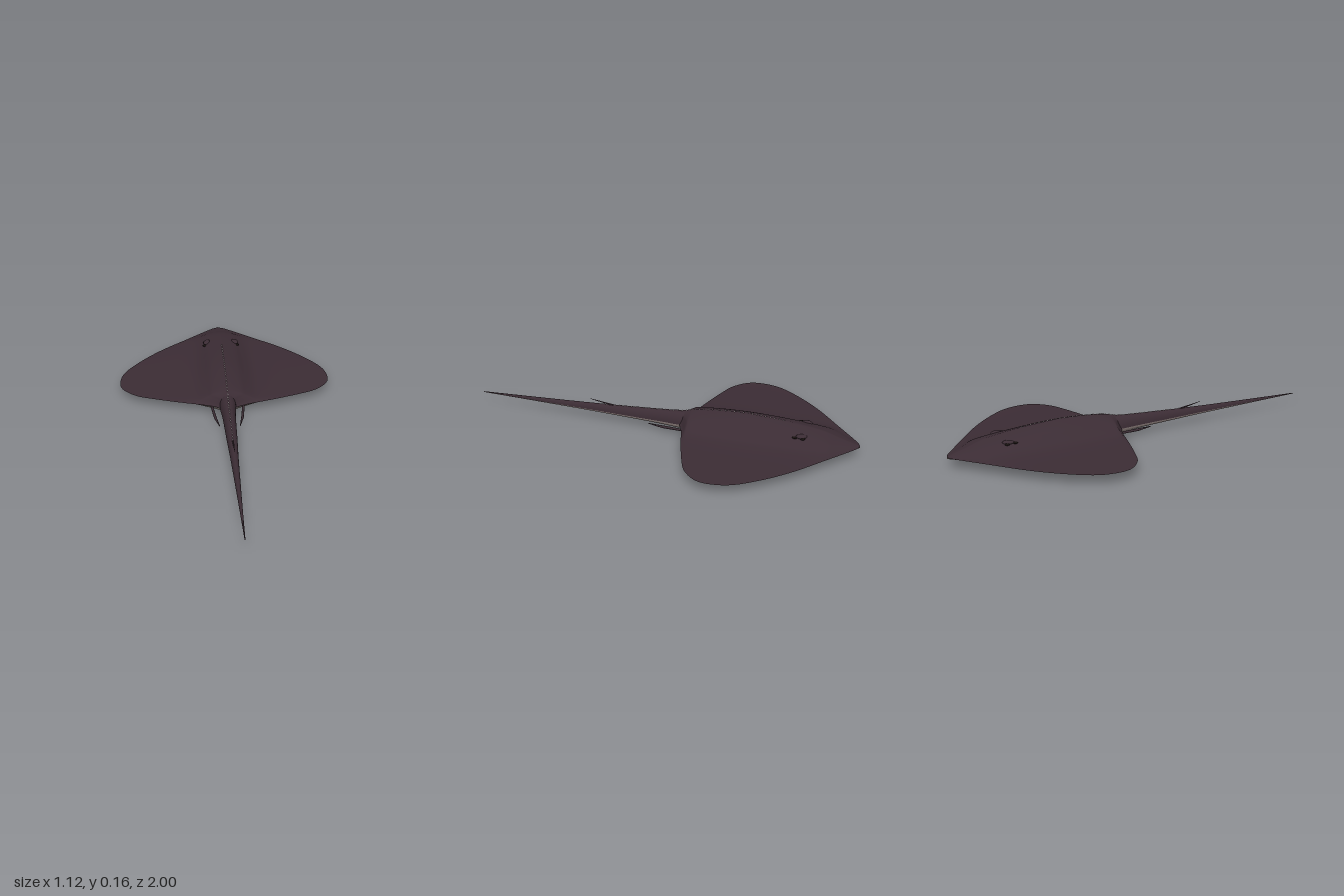
import * as THREE from 'three';

// Smooth curve through points, read back as y = f(x)
function lookup(points) {
  const pts = new THREE.SplineCurve(points.map(p => new THREE.Vector2(...p))).getPoints(400);
  return x => {
    if (x <= pts[0].x) return pts[0].y;
    for (let i = 1; i < pts.length; i++) {
      if (x <= pts[i].x) {
        const a = pts[i - 1], b = pts[i];
        return a.y + (b.y - a.y) * (x - a.x) / Math.max(b.x - a.x, 1e-6);
      }
    }
    return pts[pts.length - 1].y;
  };
}

// Half outline of the disc as (z, half width), snout to tail root
const outline = [[-1, 0], [-0.985, 0.035], [-0.93, 0.105], [-0.86, 0.19], [-0.74, 0.335], [-0.62, 0.45], [-0.5, 0.535],
  [-0.4, 0.56], [-0.32, 0.545], [-0.25, 0.475], [-0.21, 0.38], [-0.165, 0.24], [-0.125, 0.1], [-0.1, 0.045]];
const EDGE = 0.053;
const halfWidth = lookup(outline);
const backY = lookup([[-1, 0.055], [-0.9, 0.085], [-0.8, 0.115], [-0.6, 0.14], [-0.4, 0.15], [-0.2, 0.136],
  [-0.1, 0.115], [0, 0.106], [0.4, 0.085], [1, 0.064]]);
const bellyY = lookup([[-1, 0.045], [-0.9, 0.03], [-0.8, 0.018], [-0.6, 0.006], [-0.4, 0], [-0.2, 0.01],
  [0, 0.028], [0.4, 0.044], [1, 0.06]]);
const tailWidth = lookup([[-0.3, 0.045], [-0.1, 0.042], [0, 0.034], [0.2, 0.027], [0.4, 0.019], [0.8, 0.007], [1, 0.002]]);
const backFall = lookup([[0, 1], [0.04, 0.86], [0.08, 0.68], [0.1, 0.53], [0.15, 0.23], [0.2, 0.12], [0.3, 0.05], [0.56, 0]]);
const bellyFall = lookup([[0, 1], [0.05, 0.96], [0.1, 0.7], [0.15, 0.36], [0.2, 0.16], [0.3, 0.05], [0.56, 0]]);

function discY(x, z, w, top) {
  const u = w > 0 ? Math.min(1, Math.abs(x) / w) : 1;
  const k = Math.max(0.01, Math.min(1, w / 0.2));
  const fall = (top ? backFall : bellyFall)(Math.abs(x) / k) * (1 - u ** 4);
  return EDGE + ((top ? backY : bellyY)(z) - EDGE) * fall;
}

// Grid surface; rows run along z, columns along x
function sheet(rows, cols, point, top) {
  const pos = [], idx = [];
  for (let i = 0; i <= rows; i++) {
    for (let j = 0; j <= cols; j++) {
      pos.push(...point(i / rows, j / cols * 2 - 1));
      if (i === rows || j === cols) continue;
      const a = i * (cols + 1) + j, b = a + 1, c = a + cols + 1, d = c + 1;
      if (top) idx.push(a, c, b, b, c, d);
      else idx.push(a, b, c, b, d, c);
    }
  }
  const g = new THREE.BufferGeometry();
  g.setAttribute('position', new THREE.Float32BufferAttribute(pos, 3));
  g.setIndex(idx);
  g.computeVertexNormals();
  return g;
}

export function createModel() {
  const model = new THREE.Group();
  model.name = 'stingray';
  const mat = (name, color) => Object.assign(new THREE.MeshStandardMaterial({ color }), { name });
  const skin = mat('dark skin', 0x3b2c34);
  const belly = mat('pale belly', 0x887b78);
  const dark = mat('eye and slit black', 0x17110f);
  const bone = mat('pale thorn', 0xc9c0c0);

  const add = (name, geometry, material, parent = model) => {
    const m = new THREE.Mesh(geometry, material);
    m.name = name;
    parent.add(m);
    return m;
  };

  // Disc: back and belly share the rim
  const rim = new THREE.SplineCurve(outline.map(p => new THREE.Vector2(...p)));
  const disc = top => sheet(90, 80, (s, u) => {
    const p = rim.getPoint(s), x = u * p.y;
    return [x, discY(x, p.x, p.y, top), p.x];
  }, top);
  add('discBack', disc(true), skin);
  add('discBelly', disc(false), belly);

  // Whip tail, dark above and pale below
  const tail = top => sheet(60, 16, (s, u) => {
    const z = -0.3 + 1.3 * s, a = u * Math.PI / 2;
    const sink = 0.02 * Math.max(0, Math.min(1, (-0.08 - z) / 0.2));
    const mid = EDGE + 0.009 * Math.max(0, z);
    const end = top ? backY(z) - sink : bellyY(z) + sink;
    return [tailWidth(z) * Math.sin(a), mid + (end - mid) * Math.cos(a), z];
  }, top);
  add('tailBack', tail(true), skin);
  add('tailUnderside', tail(false), belly);

  // Tapered rod between two points
  const rod = (name, from, to, r0, r1, material) => {
    const a = new THREE.Vector3(...from), b = new THREE.Vector3(...to), d = b.clone().sub(a);
    const m = add(name, new THREE.CylinderGeometry(r1, r0, d.length(), 10), material);
    m.position.copy(a).add(b).multiplyScalar(0.5);
    m.quaternion.setFromUnitVectors(new THREE.Vector3(0, 1, 0), d.normalize());
  };
  rod('tailSting', [0, 0.088, 0.26], [0, 0.109, 0.39], 0.005, 0.001, skin);

  // Flattened blob laid on the back or belly
  const blob = (name, x, z, size, material, top, turn = 0) => {
    const m = add(name, new THREE.SphereGeometry(1, 14, 10), material);
    m.scale.set(...size);
    m.position.set(x, discY(x, z, halfWidth(z), top), z);
    m.rotation.y = turn;
  };

  for (const side of [-1, 1]) {
    // Slender pelvic fins beside the tail root
    rod('pelvicFin', [side * 0.084, 0.048, -0.14], [side * 0.07, 0.044, -0.02], 0.006, 0.007, skin);
    rod('pelvicFinTip', [side * 0.07, 0.044, -0.02], [side * 0.052, 0.042, 0.06], 0.007, 0.002, skin);
    // Eyes and breathing holes
    blob('eyeBump', side * 0.078, -0.725, [0.018, 0.01, 0.028], skin, true, side * 0.3);
    blob('eye', side * 0.088, -0.732, [0.01, 0.008, 0.013], dark, true);
    blob('spiracle', side * 0.09, -0.693, [0.014, 0.004, 0.012], dark, true, side * 0.5);
    // Gill slits and nostrils
    for (let i = 0; i < 5; i++) {
      blob('gillSlit', side * (0.095 - i * 0.005), -0.68 + i * 0.04, [0.017, 0.003, 0.003], dark, false, side * 0.25);
    }
    blob('nostril', side * 0.04, -0.8, [0.012, 0.003, 0.005], dark, false, side * 0.4);
  }
  blob('mouth', 0, -0.765, [0.045, 0.003, 0.006], dark, false);

  // Row of thorns along the spine
  const thorn = new THREE.ConeGeometry(0.005, 0.008, 6);
  for (let i = 0; i < 42; i++) {
    const z = -0.62 + i * 0.0225;
    add('thorn', thorn, bone).position.set(0, backY(z) + 0.001, z);
  }
  return model;
}
